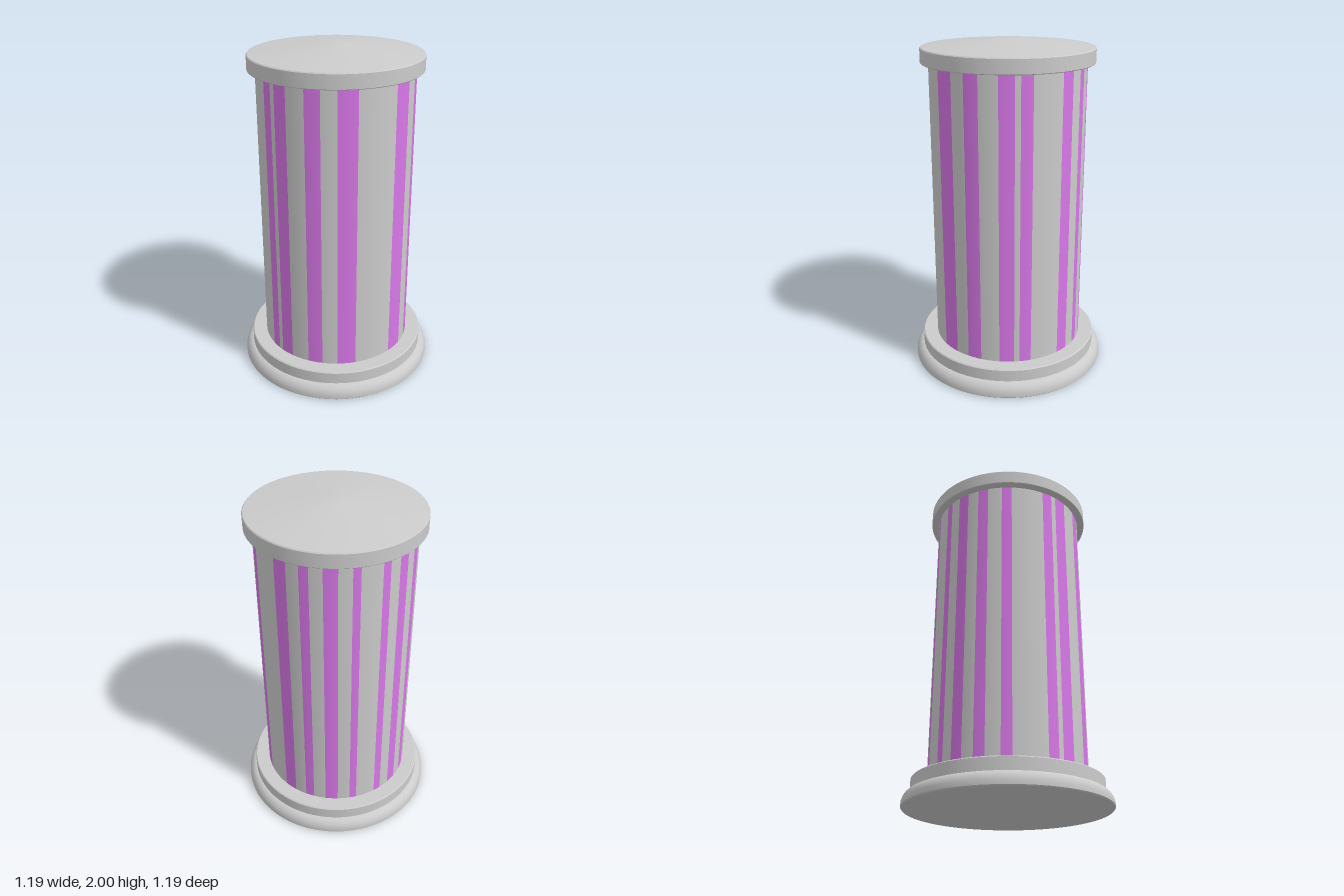
import * as THREE from 'three';
import { toCreasedNormals } from 'three/addons/utils/BufferGeometryUtils.js';

const grey = new THREE.MeshStandardMaterial({ color: 0xcccccc });
const violet = new THREE.MeshStandardMaterial({ color: 0xd878e8 });

const SHAFT_RADIUS = 0.457;
const SHAFT_BOTTOM = 0.15;
const SHAFT_TOP = 1.88;

// Violet stripes as [start, end] in degrees, from the front (+z) towards +x
const STRIPES = [
  [-76, -68.5], [-43.6, -35.5], [-31.5, -21], [-6.8, 4.3],
  [15.6, 29.6], [59.8, 74.3], [85.2, 96], [110, 121],
  [125, 133.6], [156.8, 167], [176.6, 183.4], [192.8, 202.5],
  [211.9, 217.3], [233, 239], [247.7, 256.5], [265.4, 273.4],
];

// Turned solid from [radius, height] points, listed from the underside up
function turned(name, profile) {
  const points = profile.map(([r, y]) => new THREE.Vector2(r, y));
  const geometry = toCreasedNormals(new THREE.LatheGeometry(points, 72), 0.5);
  const mesh = new THREE.Mesh(geometry, grey);
  mesh.name = name;
  return mesh;
}

// One vertical strip of the shaft wall
function strip(name, from, to, material) {
  const rad = THREE.MathUtils.degToRad;
  const geometry = new THREE.CylinderGeometry(
    SHAFT_RADIUS, SHAFT_RADIUS, SHAFT_TOP - SHAFT_BOTTOM,
    Math.max(2, Math.ceil((to - from) / 4)), 1, true, rad(from), rad(to - from));
  const mesh = new THREE.Mesh(geometry, material);
  mesh.position.y = (SHAFT_TOP + SHAFT_BOTTOM) / 2;
  mesh.name = name;
  return mesh;
}

export function createModel() {
  const model = new THREE.Group();
  model.name = 'stripedColumn';

  // Rounded foot with a straight ring on top
  model.add(turned('foot', [
    [0, 0], [0.588, 0], [0.594, 0.006], [0.594, 0.03], [0.588, 0.05],
    [0.577, 0.068], [0.563, 0.08], [0.548, 0.086], [0, 0.086],
  ]));
  model.add(turned('baseRing', [
    [0, 0.08], [0.547, 0.08], [0.547, 0.156], [0.541, 0.162], [0, 0.162],
  ]));

  // Shaft wall: violet stripes alternating with grey gaps
  const shaft = new THREE.Group();
  shaft.name = 'shaft';
  STRIPES.forEach(([from, to], i) => {
    const next = i + 1 < STRIPES.length ? STRIPES[i + 1][0] : STRIPES[0][0] + 360;
    shaft.add(strip('stripe', from, to, violet));
    shaft.add(strip('shaftWall', to, next, grey));
  });
  model.add(shaft);

  // Overhanging cap with a shallow conical roof
  model.add(turned('cap', [
    [0, 1.864], [0.499, 1.864], [0.503, 1.868], [0.503, 1.946], [0.498, 1.952],
    [0.08, 1.997], [0.04, 1.999], [0, 2],
  ]));

  return model;
}
